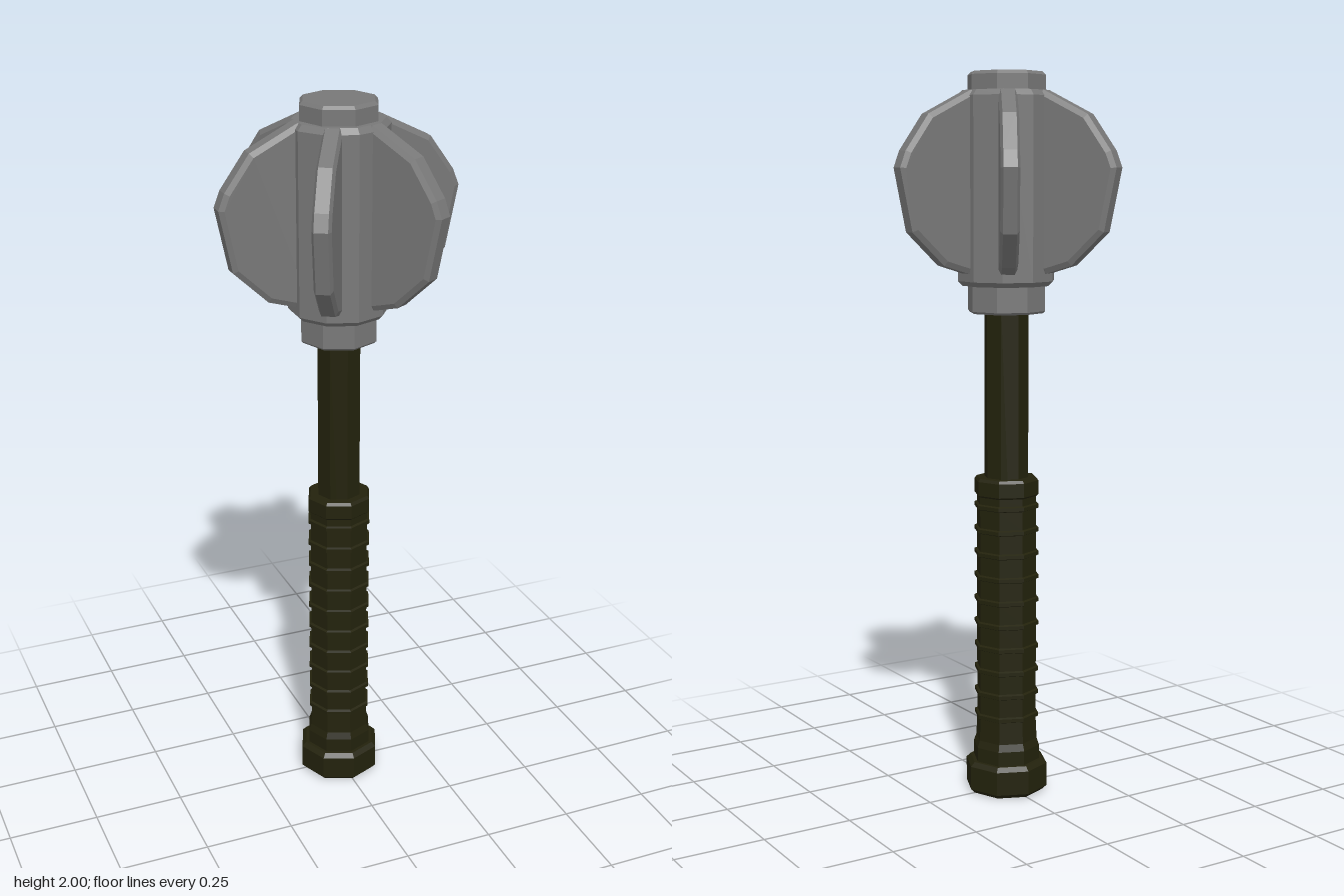
import * as THREE from 'three';

// Closed, faceted turned part from [radius, height] pairs, bottom to top
function turned(name, profile, sides, material) {
  const points = profile.map(([r, y]) => new THREE.Vector2(r, y));
  points.unshift(new THREE.Vector2(0, profile[0][1]));
  points.push(new THREE.Vector2(0, profile[profile.length - 1][1]));
  const geometry = new THREE.LatheGeometry(points, sides).toNonIndexed();
  geometry.computeVertexNormals();
  const mesh = new THREE.Mesh(geometry, material);
  mesh.name = name;
  return mesh;
}

// Drum with chamfered rims
function drum(name, radius, bottom, top, bevel, sides, material) {
  return turned(name, [
    [radius - bevel, bottom], [radius, bottom + bevel],
    [radius, top - bevel], [radius - bevel, top],
  ], sides, material);
}

export function createModel() {
  const group = new THREE.Group();
  group.name = 'mace';
  const steel = new THREE.MeshStandardMaterial({ color: 0x787878, flatShading: true });
  steel.name = 'steel';
  const leather = new THREE.MeshStandardMaterial({ color: 0x23220c, flatShading: true });
  leather.name = 'dark leather';

  // Handle
  group.add(drum('pommel', 0.117, 0, 0.09, 0.012, 8, leather));
  group.add(turned('shaft', [[0.062, 0.08], [0.062, 1.38]], 8, leather));

  // Wrapped grip: lower band, raised ridges, upper band
  const wrap = [[0.095, 0.08], [0.095, 0.13], [0.088, 0.15]];
  for (let i = 0; i < 10; i++) {
    const y = 0.22 + i * 0.0667;
    wrap.push([0.085, y - 0.008], [0.092, y - 0.005], [0.092, y + 0.005], [0.085, y + 0.008]);
  }
  wrap.push([0.085, 0.848], [0.091, 0.853], [0.091, 0.892], [0.085, 0.9]);
  group.add(turned('grip', wrap, 8, leather));

  // Head core with collar and cap
  group.add(drum('collar', 0.108, 1.355, 1.45, 0.006, 8, steel));
  group.add(turned('headCore', [
    [0.122, 1.43], [0.135, 1.443], [0.135, 1.935], [0.122, 1.95],
  ], 10, steel));
  group.add(drum('cap', 0.108, 1.94, 2, 0.009, 8, steel));

  // Six chamfered flanges around the core
  const outline = [
    [0.08, 1.465], [0.13, 1.465], [0.205, 1.488], [0.3, 1.578],
    [0.335, 1.746], [0.318, 1.79], [0.25, 1.885], [0.12, 1.95], [0.08, 1.95],
  ];
  const flangeGeometry = new THREE.ExtrudeGeometry(
    new THREE.Shape(outline.map(([x, y]) => new THREE.Vector2(x, y))),
    { depth: 0.036, bevelEnabled: true, bevelThickness: 0.007, bevelSize: 0.014, bevelOffset: -0.014, bevelSegments: 1 },
  );
  flangeGeometry.translate(0, 0, -0.018);
  for (let i = 0; i < 6; i++) {
    const flange = new THREE.Mesh(flangeGeometry, steel);
    flange.name = `flange${i + 1}`;
    flange.rotation.y = i * Math.PI / 3;
    group.add(flange);
  }
  return group;
}
